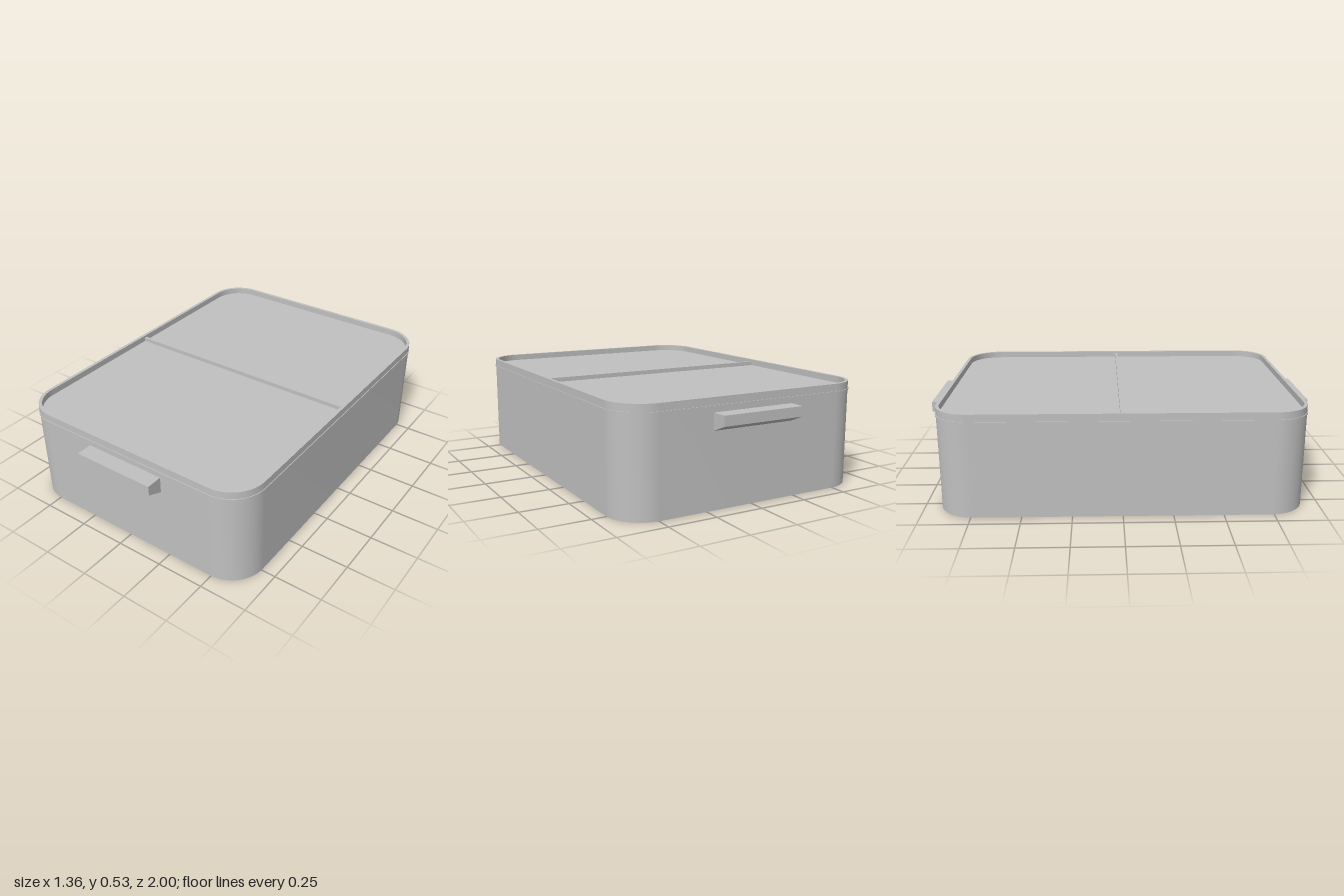
import * as THREE from 'three';
import { toCreasedNormals } from 'three/addons/utils/BufferGeometryUtils.js';

const grey = new THREE.MeshStandardMaterial({ color: 0xc0c0c0 });
grey.name = 'grey';

// Rounded rectangle outline with half sizes w, d and corner radius r
function outline(path, w, d, r) {
  path.moveTo(w, -d + r);
  path.lineTo(w, d - r);
  path.absarc(w - r, d - r, r, 0, Math.PI / 2);
  path.absarc(-w + r, d - r, r, Math.PI / 2, Math.PI);
  path.absarc(-w + r, -d + r, r, Math.PI, Math.PI * 1.5);
  path.absarc(w - r, -d + r, r, Math.PI * 1.5, Math.PI * 2);
  return path;
}

// Upright slab between y0 and y1, grown outward by grow, hollow if wall > 0
function slab(name, y0, y1, grow = 0, wall = 0) {
  const W = 0.675 + grow, D = 0.918 + grow, R = 0.18 + grow;
  const shape = outline(new THREE.Shape(), W, D, R);
  if (wall) shape.holes.push(outline(new THREE.Path(), W - wall, D - wall, R - wall));
  const geo = new THREE.ExtrudeGeometry(shape, { depth: y1 - y0, bevelEnabled: false, curveSegments: 14 });
  geo.rotateX(-Math.PI / 2).translate(0, y0, 0);
  const mesh = new THREE.Mesh(toCreasedNormals(geo, 0.6), grey);
  mesh.name = name;
  return mesh;
}

// Wedge-bottomed grip on the front end
function handle(name) {
  const profile = new THREE.Shape([[0.91, 0.372], [1, 0.41], [1, 0.46], [0.91, 0.46]]
    .map(([z, y]) => new THREE.Vector2(z, y)));
  const geo = new THREE.ExtrudeGeometry(profile, { depth: 0.44, bevelEnabled: false });
  geo.translate(0, 0, -0.22).rotateY(-Math.PI / 2);
  const mesh = new THREE.Mesh(geo, grey);
  mesh.name = name;
  return mesh;
}

export function createModel() {
  const group = new THREE.Group();
  group.name = 'container';

  // Body closed by the recessed lid panel, lid seam and raised rim
  group.add(slab('body', 0, 0.497));
  group.add(slab('seamBead', 0.485, 0.493, 0.004, 0.02));
  group.add(slab('lidRim', 0.497, 0.53, 0, 0.017));

  // Rib across the lid
  const rib = new THREE.Mesh(new THREE.BoxGeometry(1.32, 0.024, 0.015), grey);
  rib.name = 'lidRib';
  rib.position.set(0, 0.507, -0.005);
  group.add(rib);

  // Handles at both ends
  const back = handle('backHandle');
  back.rotation.y = Math.PI;
  group.add(handle('frontHandle'), back);
  return group;
}
